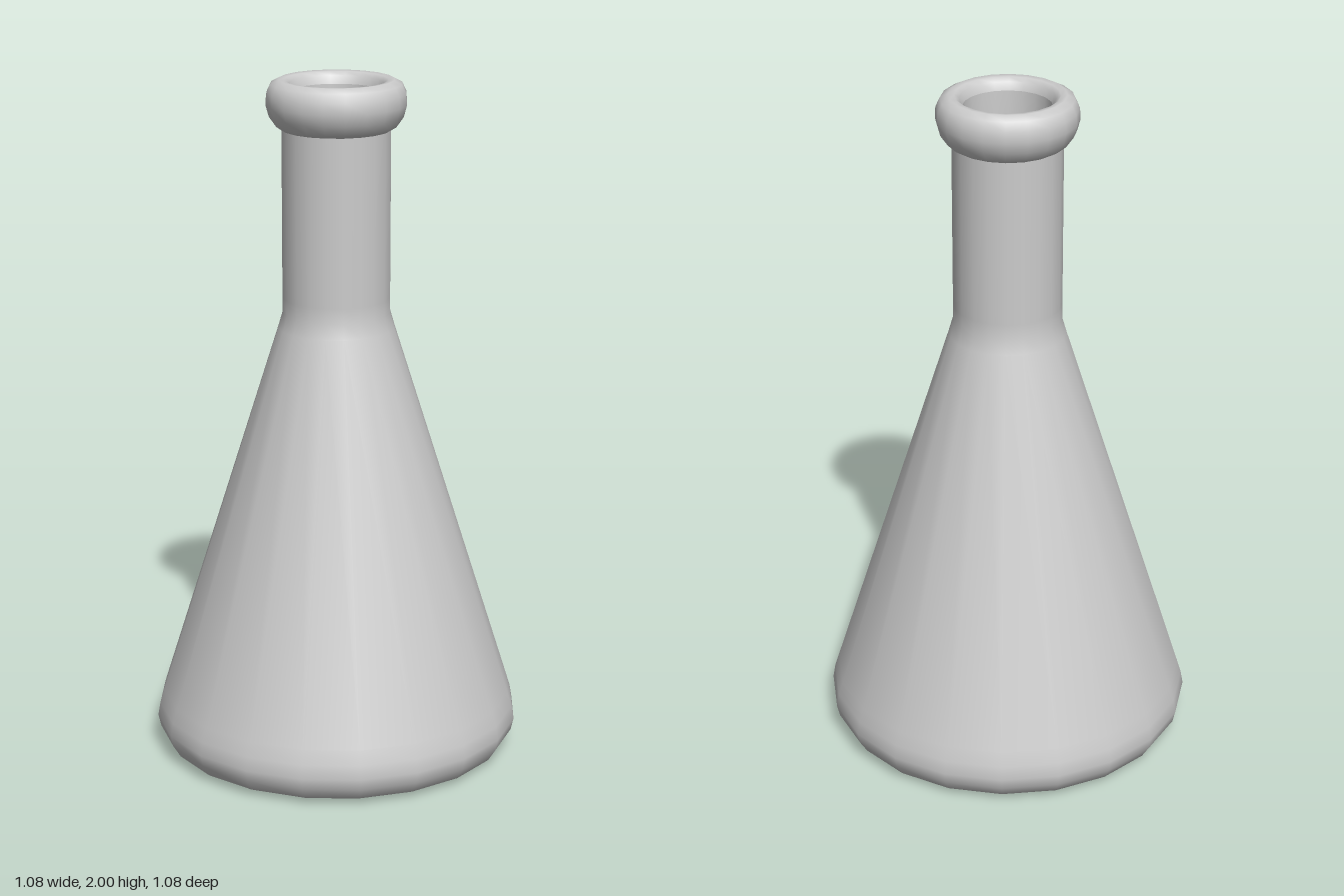
import * as THREE from 'three';

const SIDES = 20;

// Revolves a list of [radius, height] pairs; outer profiles run upward, inner ones downward.
function lathe(name, profile, material) {
  const points = profile.map(([r, y]) => new THREE.Vector2(r, y));
  const mesh = new THREE.Mesh(new THREE.LatheGeometry(points, SIDES), material);
  mesh.name = name;
  return mesh;
}

export function createModel() {
  const group = new THREE.Group();
  group.name = 'conicalFlask';
  const material = new THREE.MeshStandardMaterial({ color: 0xcccccc });

  // Flat base, rounded heel, cone and neck; extra rings keep the bends tight
  group.add(lathe('body', [
    [0, 0], [0.45, 0], [0.478, 0.004], [0.51, 0.02], [0.532, 0.055],
    [0.54, 0.09], [0.533, 0.13], [0.52, 0.172], [0.17, 1.28],
    [0.157, 1.325], [0.157, 1.37], [0.157, 1.86],
  ], material));

  // Rolled rim, meeting the neck at a hard edge
  group.add(lathe('rim', [
    [0.157, 1.858], [0.172, 1.867], [0.193, 1.897], [0.202, 1.93], [0.2, 1.962],
    [0.188, 1.988], [0.165, 2], [0.148, 1.998], [0.134, 1.988], [0.126, 1.965],
  ], material));

  // Inner wall and floor, following the outside at the glass thickness
  group.add(lathe('innerWall', [
    [0.126, 1.965], [0.123, 1.86], [0.123, 1.36], [0.125, 1.32], [0.14, 1.275],
    [0.49, 0.168], [0.503, 0.125], [0.508, 0.09], [0.5, 0.062], [0.482, 0.042],
    [0.455, 0.032], [0.43, 0.03], [0, 0.03],
  ], material));

  return group;
}
